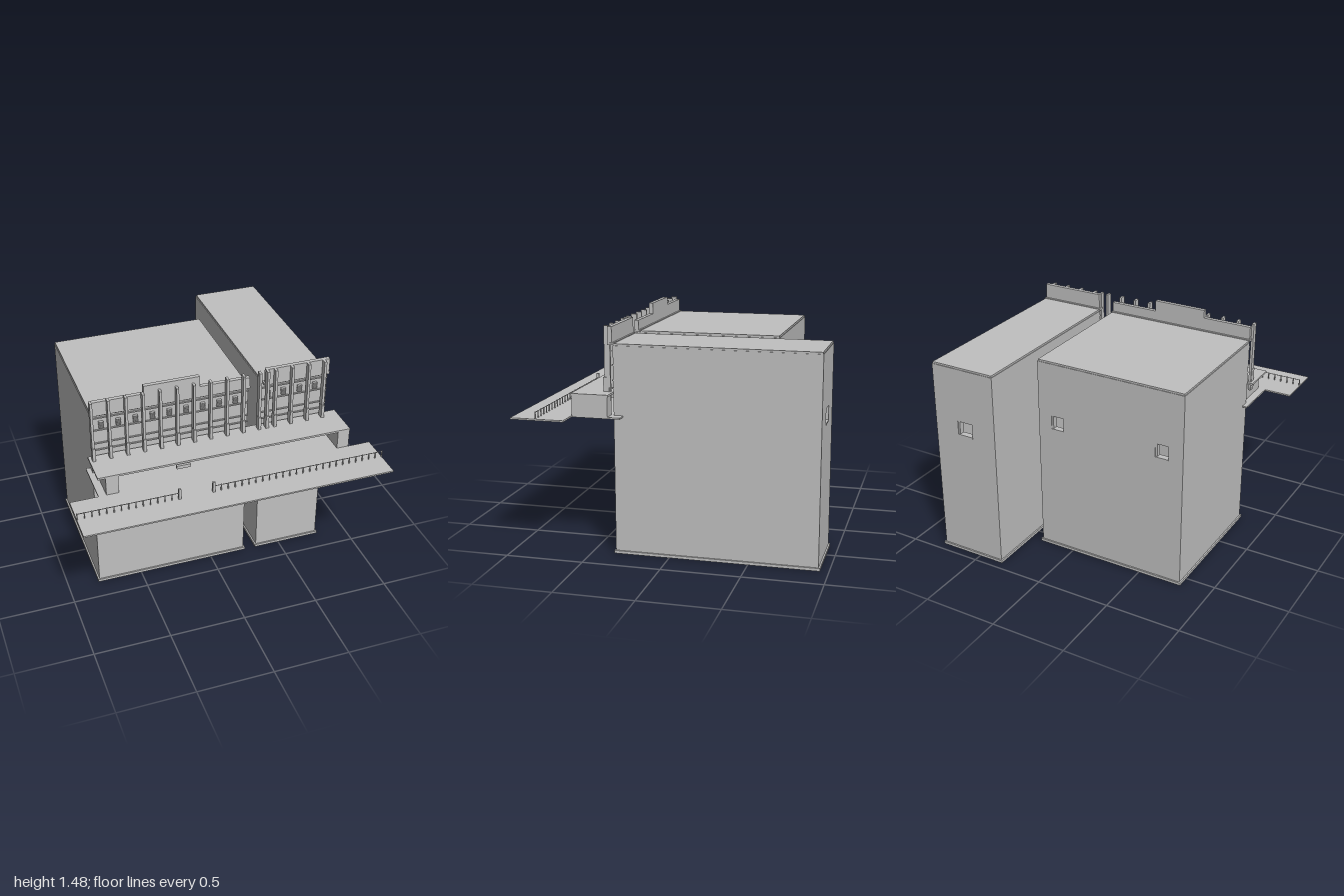
import * as THREE from 'three';

export function createModel() {
  const root = new THREE.Group();
  const stone = new THREE.MeshStandardMaterial({ color: 0xc0c0c0 });
  stone.name = 'plain grey';

  function group(name, parent = root) {
    const g = new THREE.Group();
    g.name = name;
    parent.add(g);
    return g;
  }

  // Box given by its limits on each axis
  function box(name, parent, x0, x1, y0, y1, z0, z1) {
    const m = new THREE.Mesh(new THREE.BoxGeometry(x1 - x0, y1 - y0, z1 - z0), stone);
    m.position.set((x0 + x1) / 2, (y0 + y1) / 2, (z0 + z1) / 2);
    m.name = name;
    parent.add(m);
    return m;
  }

  // Upright wall with rectangular openings [x0, x1, y0, y1]
  function wall(name, parent, x0, x1, y0, y1, z0, z1, openings) {
    const rect = (p, a, b, c, d) => p.moveTo(a, c).lineTo(b, c).lineTo(b, d).lineTo(a, d).closePath();
    const s = rect(new THREE.Shape(), x0, x1, y0, y1);
    openings.forEach(o => s.holes.push(rect(new THREE.Path(), ...o)));
    const m = new THREE.Mesh(new THREE.ExtrudeGeometry(s, { depth: z1 - z0, bevelEnabled: false }), stone);
    m.position.z = z0;
    m.name = name;
    parent.add(m);
  }

  // Hollow block: floor flange, four walls, roof slab and window frames
  function block(name, x0, x1, zBack, windows) {
    const g = group(name);
    const zf = 0.35, top = 1.325, t = 0.02;
    box('baseFlange', g, x0 - 0.01, x1 + 0.01, 0, 0.018, zBack - 0.01, zf + 0.01);
    box('rightWall', g, x0, x0 + t, 0.018, top, zBack + t, zf - t);
    box('leftWall', g, x1 - t, x1, 0.018, top, zBack + t, zf - t);
    wall('backWall', g, x0, x1, 0.018, top, zBack, zBack + t, windows.map(([a, b]) => [a, b, 0.865, 0.965]));
    wall('frontWall', g, x0, x1, 0.018, top, zf - t, zf, windows.map(([a, b]) => [a - 0.005, b + 0.005, 0.89, 0.97]));
    box('roof', g, x0 + 0.004, x1 - 0.004, top, 1.337, zBack + 0.004, zf - 0.004);
    windows.forEach(([a, b]) => {
      box('windowSill', g, a, b, 0.865, 0.875, zBack - 0.002, zBack + 0.04);
      box('windowJamb', g, b - 0.012, b, 0.865, 0.965, zBack + 0.005, zBack + 0.04);
    });
    return g;
  }
  const wide = block('wideBlock', -0.79, 0.24, -0.58, [[-0.69, -0.6], [0.056, 0.145]]);
  block('narrowBlock', 0.335, 0.785, -0.935, [[0.505, 0.615]]);
  // Small fittings on the alley wall
  [-0.26, 0.03].forEach(z => box('alleyBracket', wide, 0.24, 0.255, 0.83, 0.88, z - 0.006, z + 0.006));

  // Terrace
  const terrace = group('terrace');
  box('forecourt', terrace, -1, 1, 0.882, 0.892, 0.6, 0.943);
  box('rearTerrace', terrace, -0.82, 0.85, 0.882, 0.892, 0.29, 0.6);

  // Railing in two runs with gate posts
  const railing = group('railing');
  [[-1, -0.36], [-0.14, 1]].forEach(([a, b]) => {
    box('topRail', railing, a, b, 0.932, 0.935, 0.777, 0.781);
    const n = Math.round((b - a) / 0.045);
    for (let i = 0; i <= n; i++) {
      const x = a + 0.003 + (b - a - 0.006) * i / n;
      box('railPost', railing, x - 0.003, x + 0.003, 0.892, 0.937, 0.776, 0.782);
    }
  });
  [-0.36, -0.14].forEach(x => box('gatePost', railing, x - 0.008, x + 0.008, 0.892, 0.965, 0.77, 0.787));

  // Porch
  const porch = group('porch');
  box('porchRoof', porch, -0.82, 0.85, 1.017, 1.03, 0.365, 0.605);
  box('porchRightWall', porch, -0.77, -0.69, 0.892, 1.017, 0.37, 0.6);
  box('porchLeftWall', porch, 0.77, 0.85, 0.892, 1.017, 0.37, 0.6);
  box('entrance', porch, -0.355, -0.14, 0.892, 1.017, 0.35, 0.375);
  box('entrancePlate', porch, -0.32, -0.23, 0.985, 1.008, 0.59, 0.61);
  [-0.64, 0.1].forEach(x => box('step', porch, x - 0.04, x + 0.04, 0.892, 0.905, 0.36, 0.39));

  // Facade screen: free-standing piers with a stepped parapet
  const facade = group('facade');
  const piers = [];
  for (let i = 0; i < 11; i++) piers.push(-0.792 + i * 0.1089);
  piers.push(0.35, 0.404, 0.516, 0.628, 0.737);
  piers.forEach(x => {
    box('pier', facade, x - 0.008, x + 0.008, 0.97, 1.44, 0.382, 0.42);
    box('pierFoot', facade, x - 0.01, x + 0.01, 0.97, 1.12, 0.39, 0.428);
  });
  [[-0.785, -0.455, 1.425], [-0.455, -0.095, 1.478], [-0.095, 0.237, 1.405], [0.345, 0.78, 1.44]]
    .forEach(([a, b, y]) => box('parapet', facade, a, b, 1.34, y, 0.358, 0.385));

  // Horizontal bands, corbels and vents on both blocks
  [[-0.79, 0.24], [0.335, 0.785]].forEach(([a, b]) => {
    [1.062, 1.11, 1.205, 1.292].forEach(y => box('band', facade, a, b, y - 0.004, y + 0.004, 0.345, 0.358));
    box('cornice', facade, a, b, 1.328, 1.342, 0.345, 0.385);
  });
  const vents = [];
  for (let i = 0; i < 9; i++) vents.push(-0.722 + i * 0.1092);
  vents.push(0.372, 0.479, 0.591, 0.698);
  vents.forEach(x => {
    for (let k = 0; k < 5; k++) {
      const y = 1.222 + k * 0.01;
      box('ventSlat', facade, x - 0.015, x + 0.015, y, y + 0.005, 0.345, 0.368);
    }
    box('corbel', facade, x - 0.03, x + 0.03, 1.318, 1.328, 0.345, 0.372);
  });

  return root;
}
